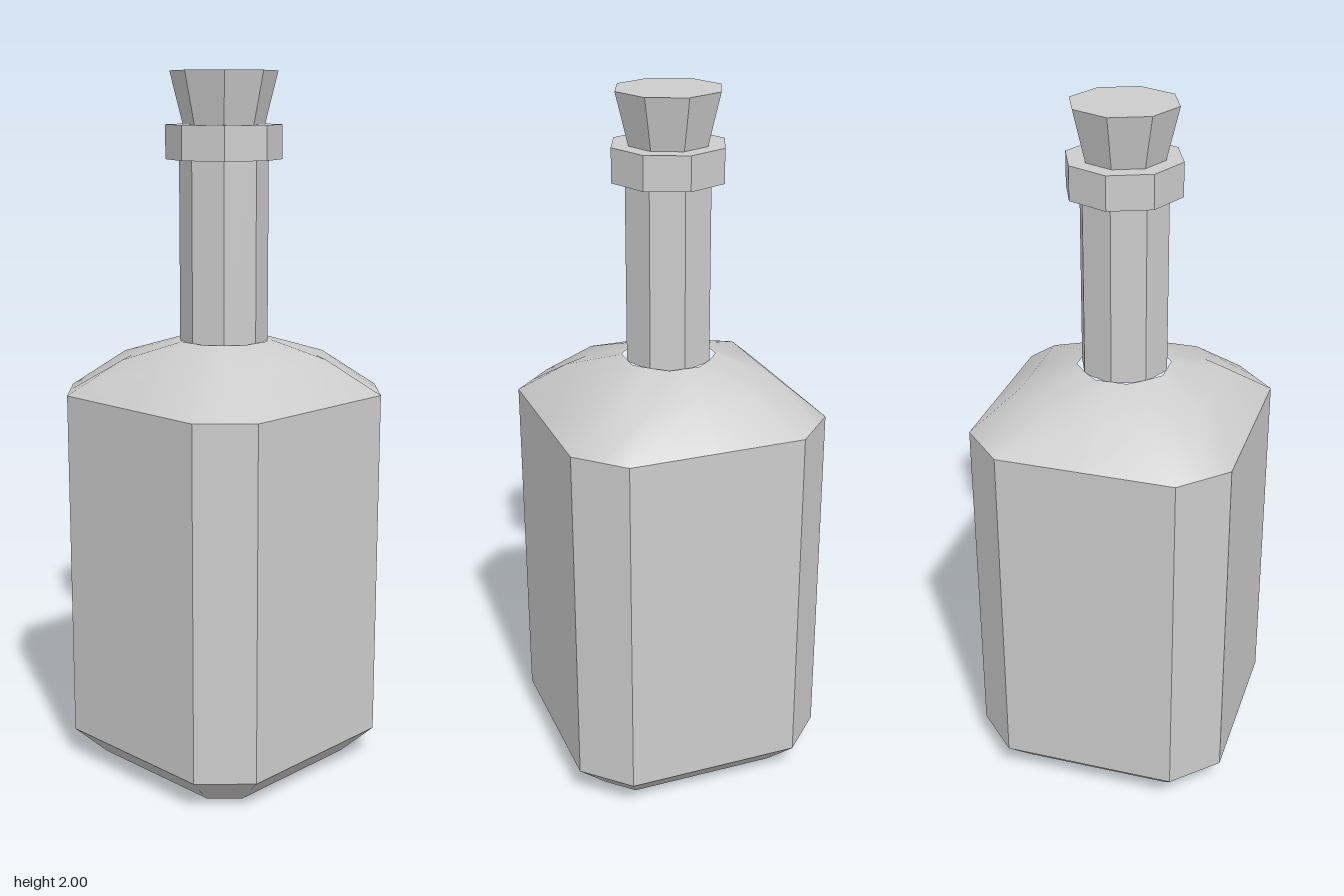
import * as THREE from 'three';

const material = new THREE.MeshStandardMaterial({ color: 0xcccccc });
const flatMaterial = new THREE.MeshStandardMaterial({ color: 0xcccccc, flatShading: true });

// Square ring with cut corners: w = half width, c = where the cut starts,
// d = position of the middle of the cut on the diagonal. 16 points.
function ring(y, w, c, d = (w + c) / 2) {
  const points = [];
  for (let q = 0; q < 4; q++) {
    const turn = q * Math.PI / 2;
    for (const [x, z] of [[w, 0], [w, c], [d, d], [c, w]]) {
      points.push([
        x * Math.cos(turn) - z * Math.sin(turn), y,
        x * Math.sin(turn) + z * Math.cos(turn)]);
    }
  }
  return points;
}

// Skin a stack of rings from bottom to top, optionally closing the bottom.
function skin(rings, closeBottom = false) {
  const n = rings[0].length;
  const index = [];
  for (let r = 0; r < rings.length - 1; r++) {
    for (let i = 0; i < n; i++) {
      const a = r * n + i, b = r * n + (i + 1) % n;
      index.push(a, a + n, b, b, a + n, b + n);
    }
  }
  if (closeBottom) for (let i = 1; i < n - 1; i++) index.push(0, i, i + 1);
  const geometry = new THREE.BufferGeometry();
  geometry.setAttribute('position', new THREE.Float32BufferAttribute(rings.flat(2), 3));
  geometry.setIndex(index);
  geometry.computeVertexNormals();
  return geometry;
}

export function createModel() {
  const group = new THREE.Group();
  const add = (name, geometry, mat = flatMaterial) => {
    const mesh = new THREE.Mesh(geometry, mat);
    mesh.name = name;
    group.add(mesh);
  };
  // Eight-sided part between two heights
  const octagon = (name, bottomRadius, topRadius, y0, y1) => add(name,
    new THREE.CylinderGeometry(topRadius, bottomRadius, y1 - y0, 8).translate(0, (y0 + y1) / 2, 0));

  // Body with bevelled base and cut corners
  add('body', skin([
    ring(0, 0.285, 0.215),
    ring(0.09, 0.375, 0.253),
    ring(1.105, 0.375, 0.253),
  ], true));

  // Smooth shoulder, slightly pinched on the diagonals
  add('shoulder', skin([
    ring(1.105, 0.375, 0.253),
    ring(1.207, 0.26, 0.146, 0.187),
    ring(1.255, 0.125, 0.045, 0.088),
  ]), material);

  octagon('neck', 0.125, 0.125, 1.25, 1.77);
  octagon('collar', 0.163, 0.163, 1.76, 1.855);
  octagon('stopper', 0.113, 0.15, 1.85, 2);
  return group;
}
